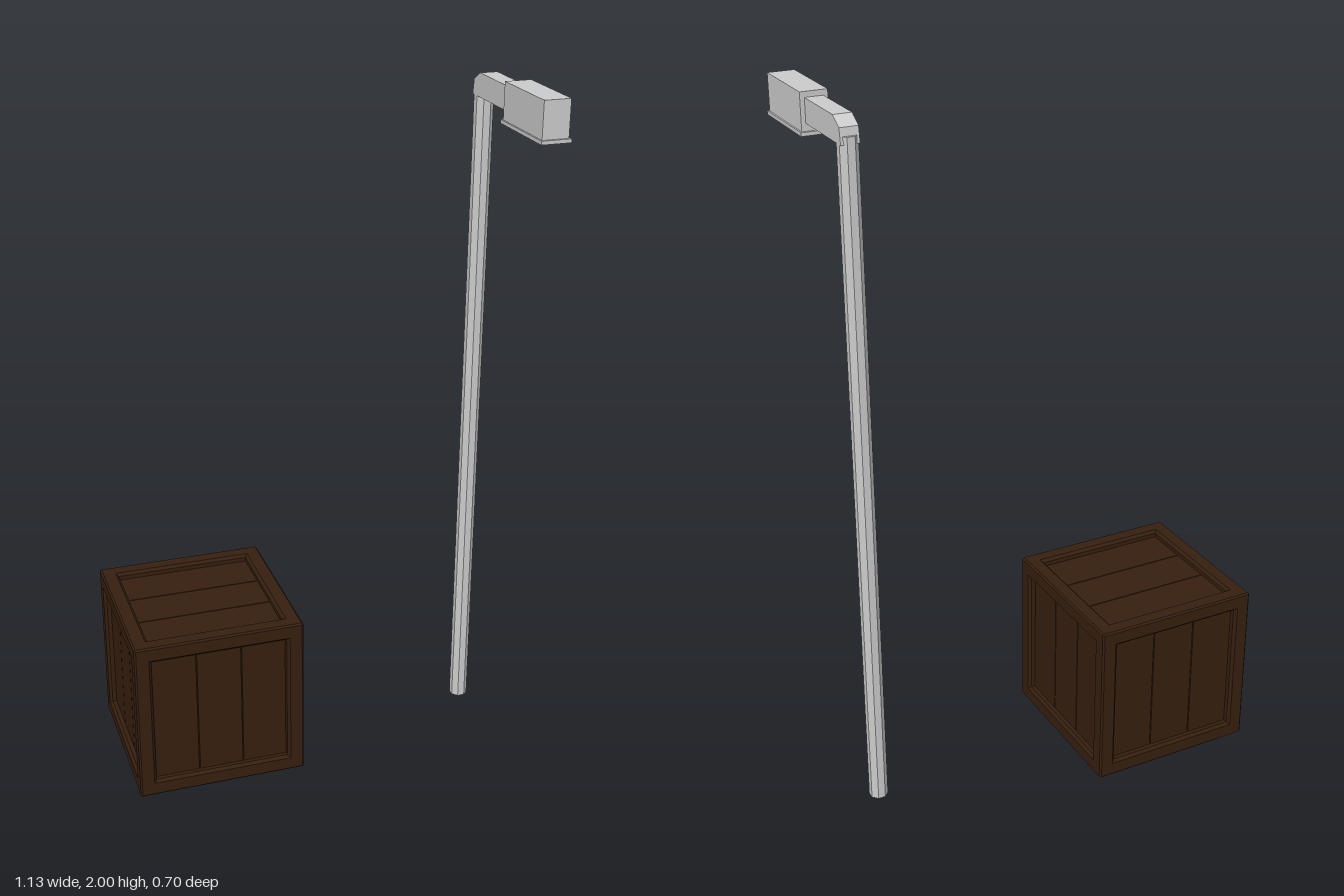
import * as THREE from 'three';

const grey = new THREE.MeshStandardMaterial({ color: 0xcccccc, flatShading: true });
const wood = new THREE.MeshStandardMaterial({ color: 0x361f0f, flatShading: true });

function add(parent, name, geometry, material, x = 0, y = 0, z = 0) {
  const mesh = new THREE.Mesh(geometry, material);
  mesh.name = name;
  mesh.position.set(x, y, z);
  parent.add(mesh);
  return mesh;
}

// One crate face pointing up (+y): mitred frame, recessed planks
function crateFace(half) {
  const face = new THREE.Group();
  face.name = 'crateFace';
  const inner = 0.206, depth = 0.02, bevel = 0.005, gap = 0.003;
  const profile = [
    [half - bevel / 2, half - bevel / 2],
    [half - bevel, half],
    [inner, half],
    [inner - 0.008, half - 0.008],
    [inner - 0.008, half - depth - 0.006],
  ].map(([r, y]) => new THREE.Vector2(r * Math.SQRT2, y));
  add(face, 'crateFrame', new THREE.LatheGeometry(profile, 4, Math.PI / 4), wood);

  const span = 2 * (inner - 0.008);
  const pitch = span / 3;
  for (let i = -1; i <= 1; i++) {
    add(face, 'cratePlank', new THREE.BoxGeometry(span, 0.01, pitch - gap), wood,
      0, half - depth - 0.005, i * pitch);
  }
  // backing seen through the grooves between planks
  const backing = add(face, 'crateBacking', new THREE.PlaneGeometry(span, span), wood, 0, half - depth - 0.006, 0);
  backing.rotation.x = -Math.PI / 2;
  return face;
}

function createCrate() {
  const crate = new THREE.Group();
  crate.name = 'crate';
  const q = Math.PI / 2;
  // top, bottom, front, back, left, right
  const turns = [[0, 0, 0], [2 * q, 0, 0], [q, q, 0], [-q, q, 0], [0, 0, -q], [0, 0, q]];
  for (const t of turns) {
    const face = crateFace(0.247);
    face.rotation.set(...t);
    crate.add(face);
  }
  crate.position.set(-0.319, 0.253, -0.106);
  return crate;
}

function createLamp() {
  const lamp = new THREE.Group();
  lamp.name = 'streetLamp';
  lamp.position.x = 0.524;

  // octagonal pole
  const pole = new THREE.CylinderGeometry(0.027, 0.027, 1.94, 8);
  pole.rotateY(Math.PI / 8);
  add(lamp, 'pole', pole, grey, 0, 0.97, -0.105);

  // elbow with a cut-off outer corner; shape drawn as (z, y)
  const outline = [[-0.08, 1.92], [-0.08, 1.985], [-0.118, 1.962], [-0.124, 1.92]];
  const shape = new THREE.Shape(outline.map(([z, y]) => new THREE.Vector2(z, y)));
  const elbow = new THREE.ExtrudeGeometry(shape, { depth: 0.05, bevelEnabled: false });
  elbow.translate(0, 0, -0.025).rotateY(-Math.PI / 2);
  add(lamp, 'elbow', elbow, grey);

  // arm, lamp head and its rim
  add(lamp, 'arm', new THREE.BoxGeometry(0.05, 0.065, 0.19), grey, 0, 1.9525, 0.015);
  add(lamp, 'lampHead', new THREE.BoxGeometry(0.074, 0.1, 0.236), grey, 0, 1.95, 0.226);
  add(lamp, 'lampRim', new THREE.BoxGeometry(0.083, 0.01, 0.25), grey, 0, 1.895, 0.226);
  return lamp;
}

export function createModel() {
  const model = new THREE.Group();
  model.name = 'crateAndStreetLamp';
  model.add(createCrate(), createLamp());
  return model;
}
